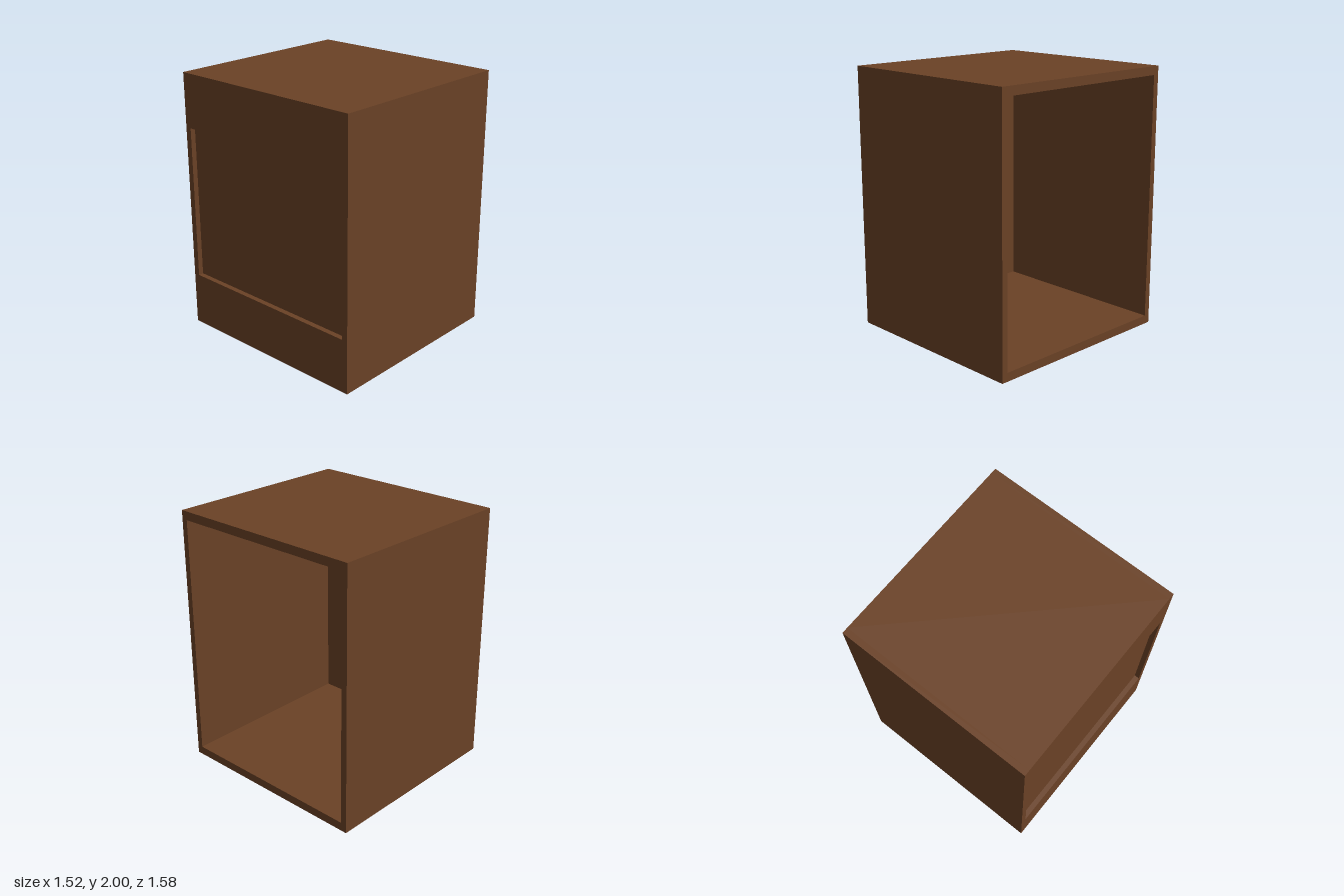
import * as THREE from 'three';

// Open wall cabinet: the opening faces +x, the back panel is on -x.
export function createModel() {
  const cabinet = new THREE.Group();
  cabinet.name = 'cabinet';

  const wood = new THREE.MeshStandardMaterial({ color: 0x6b4226 });
  wood.name = 'walnut brown';

  const width = 1.52, height = 2, depth = 1.58; // x, y, z
  const side = 0.047, board = 0.065; // board thicknesses
  const recess = 0.04, railHeight = 0.345;
  const innerZ = depth - 2 * side;
  const innerY = height - 2 * board;

  function addBoard(name, size, position) {
    const mesh = new THREE.Mesh(new THREE.BoxGeometry(...size), wood);
    mesh.name = name;
    mesh.position.set(...position);
    cabinet.add(mesh);
  }

  // Full-height side walls
  for (const [name, s] of [['frontWall', 1], ['backWall', -1]]) {
    addBoard(name, [width, height, side], [0, height / 2, s * (depth - side) / 2]);
  }

  // Top and bottom boards, each with a mounting rail behind the panel
  for (const [end, s] of [['top', 1], ['bottom', -1]]) {
    addBoard(end + 'Board', [width, board, innerZ],
      [0, height / 2 + s * (height - board) / 2, 0]);
    addBoard(end + 'Rail', [recess, railHeight, innerZ],
      [-width / 2 + recess / 2, height / 2 + s * (innerY - railHeight) / 2, 0]);
  }

  // Recessed panel closing the -x side
  const panel = 0.02;
  addBoard('recessedPanel', [panel, innerY, innerZ],
    [-width / 2 + recess + panel / 2, height / 2, 0]);

  return cabinet;
}
